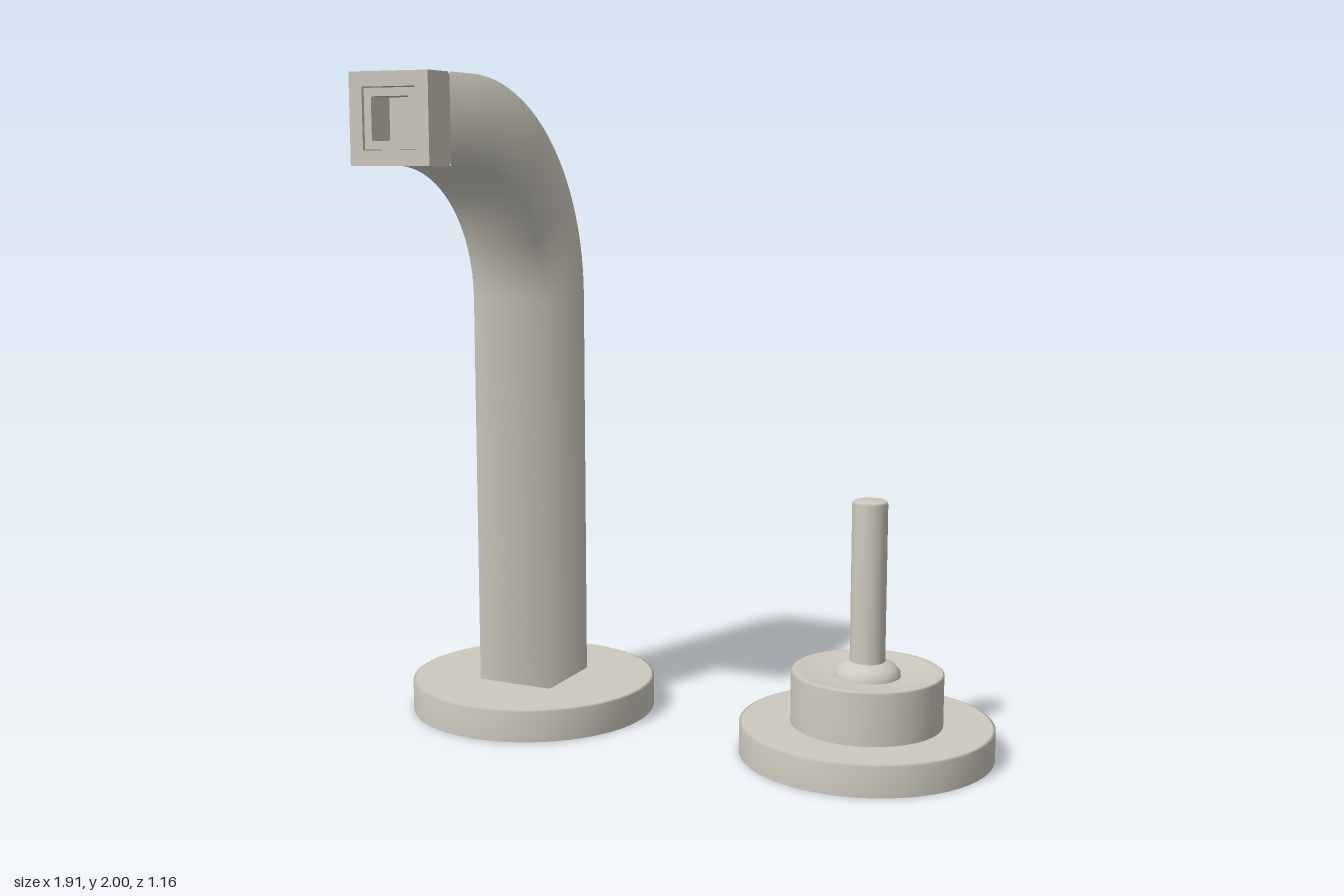
import * as THREE from 'three';

const satinMetal = new THREE.MeshStandardMaterial({ color: 0xcdc9be });
satinMetal.name = 'satin metal';

const SPOUT_X = -0.565, HANDLE_X = 0.572, AXIS_Z = -0.19;
const HALF = 0.1275; // half width of the square spout

function add(parent, name, geometry, x = 0, y = 0, z = 0) {
  const mesh = new THREE.Mesh(geometry, satinMetal);
  mesh.name = name;
  mesh.position.set(x, y, z);
  parent.add(mesh);
  return mesh;
}

function lathe(points, segments = 64) {
  return new THREE.LatheGeometry(points.map(([r, y]) => new THREE.Vector2(r, y)), segments);
}

// Round foot with a softly shaded rim and a flat underside
function addFoot(parent, name, radius, height) {
  add(parent, name, lathe([[radius, 0], [radius, height - 0.004], [radius - 0.01, height], [0, height]]));
  add(parent, name + 'Underside', new THREE.CircleGeometry(radius, 64).rotateX(Math.PI / 2));
}

// Square tube swept up, around the bend and forward, with softened corner normals
function spoutGeometry() {
  const bendRadius = 0.5425, cy = 1.33, cz = 0.545, steps = 24;
  const rings = [{ y: 0.09, z: 0, t: 0 }];
  for (let i = 0; i <= steps; i++) {
    const t = (i / steps) * Math.PI / 2;
    rings.push({ y: cy + bendRadius * Math.sin(t), z: cz - bendRadius * Math.cos(t), t });
  }
  rings.push({ y: cy + bendRadius, z: 0.66, t: Math.PI / 2 });

  const corners = [[-1, -1], [1, -1], [1, 1], [-1, 1]];
  const position = [], normal = [], index = [];
  rings.forEach(({ y, z, t }, i) => {
    const s = Math.sin(t), c = Math.cos(t);
    corners.forEach(([u, v], j) => {
      position.push(u * HALF, y + v * HALF * s, z - v * HALF * c);
      normal.push(u * Math.SQRT1_2, v * s * Math.SQRT1_2, -v * c * Math.SQRT1_2);
      if (i === 0) return;
      const k = (j + 1) % 4, a = (i - 1) * 4 + j, b = (i - 1) * 4 + k;
      index.push(a, b, b + 4, a, b + 4, a + 4);
    });
  });
  const geometry = new THREE.BufferGeometry();
  geometry.setAttribute('position', new THREE.Float32BufferAttribute(position, 3));
  geometry.setAttribute('normal', new THREE.Float32BufferAttribute(normal, 3));
  geometry.setIndex(index);
  return geometry;
}

// Square frame with a square opening
function frame(outer, inner, depth) {
  const square = (Type, h) => new Type([[-h, -h], [h, -h], [h, h], [-h, h]].map(([x, y]) => new THREE.Vector2(x, y)));
  const shape = square(THREE.Shape, outer);
  shape.holes.push(square(THREE.Path, inner));
  return new THREE.ExtrudeGeometry(shape, { depth, bevelEnabled: false });
}

export function createModel() {
  const model = new THREE.Group();
  model.name = 'tapSet';

  // Spout on its foot
  const spout = new THREE.Group();
  spout.name = 'spoutAssembly';
  spout.position.set(SPOUT_X, 0, AXIS_Z);
  addFoot(spout, 'spoutFoot', 0.392, 0.1);
  add(spout, 'spoutTube', spoutGeometry());

  // Nozzle: joint core, outer frame, recessed insert and closed outlet
  const ny = 1.8725;
  add(spout, 'nozzleCore', new THREE.BoxGeometry(0.245, 0.245, 0.04), 0, ny, 0.655);
  add(spout, 'nozzleFrame', frame(HALF, 0.086, 0.104), 0, ny, 0.666);
  add(spout, 'nozzleInsert', frame(0.083, 0.06, 0.09), 0, ny, 0.674);
  model.add(spout);

  // Handle: foot, dished collar, flare and lever pin
  const handle = new THREE.Group();
  handle.name = 'handleAssembly';
  handle.position.set(HANDLE_X, 0, AXIS_Z);
  addFoot(handle, 'handleFoot', 0.382, 0.095);
  add(handle, 'collar', lathe([[0.228, 0.09], [0.228, 0.25], [0.222, 0.255], [0.2, 0.253], [0.15, 0.243], [0.09, 0.24]]));
  add(handle, 'flare', lathe([[0.1, 0.238], [0.098, 0.255], [0.085, 0.27], [0.068, 0.281], [0.05, 0.286]], 48));
  add(handle, 'leverPin', lathe([[0.053, 0.27], [0.053, 0.762], [0.048, 0.77], [0, 0.772]], 32));
  model.add(handle);

  return model;
}
